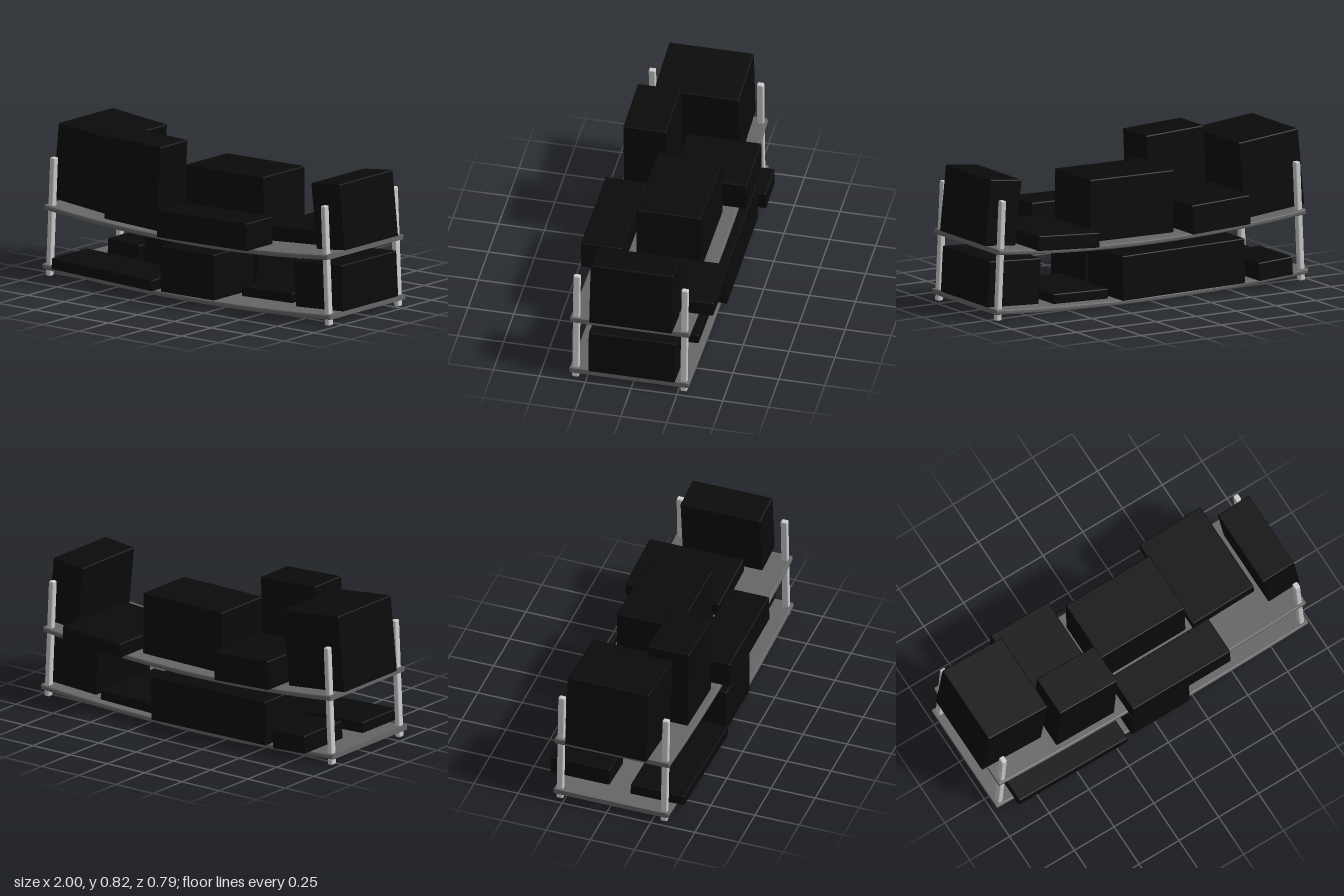
import * as THREE from 'three';
import { RoundedBoxGeometry } from 'three/addons/geometries/RoundedBoxGeometry.js';

const shelfMat = new THREE.MeshStandardMaterial({ color: 0x666666 });
const boxMat = new THREE.MeshStandardMaterial({ color: 0x0a0a0a });
const postMat = new THREE.MeshStandardMaterial({ color: 0xcccccc });

// Board sagging along x: arc profile extruded through the depth with rounded rims
function sagBoard(half, midY, sag, zMin, zMax, thick = 0.028) {
  const r = 0.008, n = 24, inner = half - r;
  const y = x => midY + sag * (x / half) ** 2;
  const shape = new THREE.Shape();
  for (let i = 0; i <= n; i++) {
    const x = -inner + (2 * inner * i) / n;
    if (i === 0) shape.moveTo(x, y(x) + r);
    else shape.lineTo(x, y(x) + r);
  }
  for (let i = n; i >= 0; i--) {
    const x = -inner + (2 * inner * i) / n;
    shape.lineTo(x, y(x) + thick - r);
  }
  const geo = new THREE.ExtrudeGeometry(shape, {
    depth: zMax - zMin - 2 * r, bevelEnabled: true, bevelSize: r, bevelThickness: r, bevelSegments: 2,
  });
  geo.translate(0, 0, zMin + r);
  return new THREE.Mesh(geo, shelfMat);
}

// Softly rounded block, tilted about z to follow the shelf
function block([name, x, y, w, h, zMin, zMax, tilt]) {
  const mesh = new THREE.Mesh(new RoundedBoxGeometry(w, h, zMax - zMin, 2, 0.007), boxMat);
  mesh.position.set(x, y, (zMin + zMax) / 2);
  mesh.rotation.z = THREE.MathUtils.degToRad(tilt);
  mesh.name = name;
  return mesh;
}

export function createModel() {
  const model = new THREE.Group();
  model.name = 'loadedShelf';

  // Two sagging shelves
  const lower = sagBoard(0.98, 0.005, 0.037, -0.31, 0.343);
  lower.name = 'lowerShelf';
  const upper = sagBoard(0.965, 0.314, 0.053, -0.31, 0.343);
  upper.name = 'upperShelf';
  model.add(lower, upper);

  // Four corner posts leaning inward
  const postGeo = new RoundedBoxGeometry(0.031, 0.65, 0.037, 2, 0.007);
  for (const side of [-1, 1]) {
    for (const z of [-0.278, 0.311]) {
      const post = new THREE.Mesh(postGeo, postMat);
      post.position.set(side * 0.937, 0.329, z);
      post.rotation.z = side * 0.046;
      post.name = `${z > 0 ? 'front' : 'back'}${side > 0 ? 'Left' : 'Right'}Post`;
      model.add(post);
    }
  }

  // name, centre x, centre y, width, height, zMin, zMax, tilt in degrees
  const upperBoxes = [
    ['upperEndBoxRight', -0.794, 0.594, 0.376, 0.42, -0.235, 0.227, -5.7],
    ['upperTallBox', -0.392, 0.588, 0.365, 0.461, 0.075, 0.31, -2.6],
    ['upperLowBackBox', -0.402, 0.437, 0.365, 0.16, -0.36, 0.045, -2.6],
    ['upperMiddleBox', 0.084, 0.518, 0.53, 0.34, -0.238, 0.117, 0.6],
    ['upperLongFrontBox', 0.15, 0.422, 0.615, 0.152, 0.172, 0.395, 1],
    ['upperFlatBox', 0.575, 0.41, 0.387, 0.082, -0.396, 0.138, 3.8],
    ['upperEndBoxLeft', 0.881, 0.572, 0.199, 0.358, -0.222, 0.23, 6],
  ];
  const lowerBoxes = [
    ['lowerBackBox', -0.733, 0.108, 0.215, 0.1, -0.375, -0.04, -3],
    ['lowerFlatFrontBox', -0.532, 0.083, 0.685, 0.062, 0.09, 0.395, -2],
    ['lowerLongBackBox', -0.173, 0.163, 0.77, 0.245, -0.348, 0, -0.7],
    ['lowerFrontBox', 0.032, 0.167, 0.365, 0.25, 0.03, 0.372, 0.4],
    ['lowerFlatBox', 0.43, 0.075, 0.345, 0.055, -0.28, 0.19, 1.5],
    ['lowerEndBoxLeft', 0.82, 0.186, 0.325, 0.25, -0.235, 0.237, 3.2],
  ];
  for (const spec of [...upperBoxes, ...lowerBoxes]) model.add(block(spec));

  return model;
}
